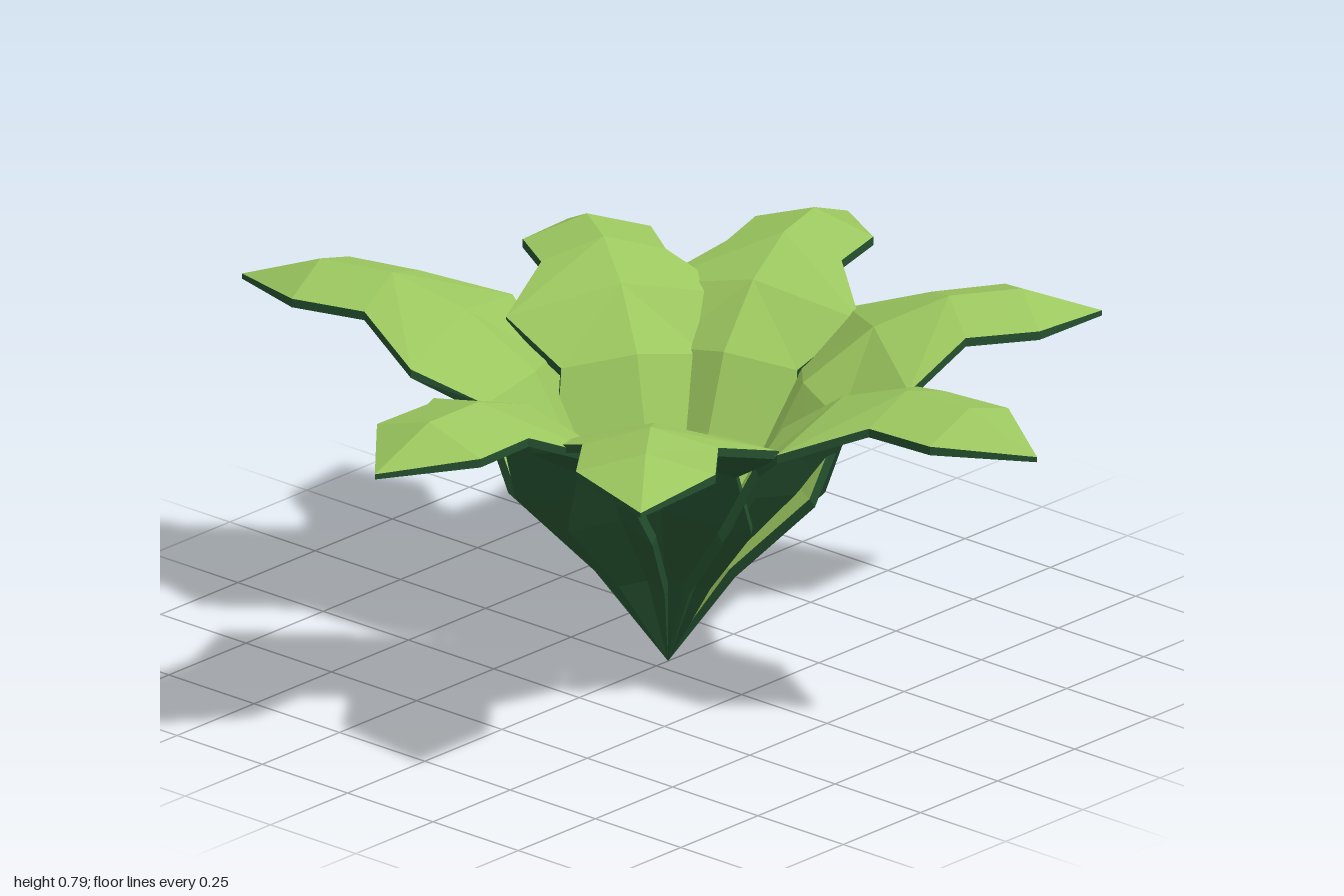
import * as THREE from 'three';

const leafTop = new THREE.MeshStandardMaterial({ color: 0x9cc75f });
const leafUnderside = new THREE.MeshStandardMaterial({ color: 0x24502f });
leafTop.name = 'light leaf green';
leafUnderside.name = 'dark leaf green';
leafTop.flatShading = leafUnderside.flatShading = true;

// Leaf cross-sections, base to tip: half width, edge reach, edge height, rib reach, rib height
const SECTIONS = [
  [0, 0, 0.02, 0, 0.02],
  [0.1, 0.11, 0.24, 0.085, 0.255],
  [0.2, 0.26, 0.425, 0.215, 0.46],
  [0.17, 0.335, 0.59, 0.295, 0.62],
  [0.27, 0.46, 0.68, 0.45, 0.735],
  [0.148, 0.615, 0.745, 0.615, 0.79],
  [0.152, 0.775, 0.745, 0.775, 0.79],
  [0, 0.95, 0.72, 0.95, 0.72],
];

// One arched leaf pointing along +z: light upper skin, dark lower skin and rim
function leafGeometry() {
  const upper = SECTIONS.map(([w, re, ye, rc, yc]) => [[-w, ye, re], [0, yc, rc], [w, ye, re]]);
  const last = SECTIONS.length - 1;
  const lower = upper.map((row, i) => row.map(([x, y, z]) => {
    const out = i === 0 || i === last ? 0 : i < 4 ? 0.012 : 0;
    return [x, y - (i === last ? 0.012 : 0.02), z + out];
  }));
  const positions = [];
  const tri = (a, b, c) => positions.push(...a, ...b, ...c);
  const quad = (a, b, c, d) => { tri(a, b, c); tri(a, c, d); };

  for (let i = 0; i < last; i++) {
    const [n, f] = [upper[i], upper[i + 1]];
    quad(n[0], f[0], f[1], n[1]);
    quad(n[2], n[1], f[1], f[2]);
  }
  const topCount = positions.length / 3;
  for (let i = 0; i < last; i++) {
    const [n, f, N, F] = [lower[i], lower[i + 1], upper[i], upper[i + 1]];
    quad(n[0], n[1], f[1], f[0]);
    quad(n[2], f[2], f[1], n[1]);
    quad(N[0], n[0], f[0], F[0]);
    quad(N[2], F[2], f[2], n[2]);
  }
  const geometry = new THREE.BufferGeometry();
  geometry.setAttribute('position', new THREE.Float32BufferAttribute(positions, 3));
  geometry.addGroup(0, topCount, 0);
  geometry.addGroup(topCount, positions.length / 3 - topCount, 1);
  geometry.computeVertexNormals();
  return geometry;
}

// Tip offset from the plant's centre (x, z) and relative width of each leaf
const LEAVES = [
  [1.0, -0.09, 0.93],
  [0.53, -0.82, 0.95],
  [-0.27, -0.88, 0.93],
  [-0.69, -0.44, 0.95],
  [-1.0, 0.275, 0.91],
  [0.0, 0.95, 1],
  [0.58, 0.73, 1],
];

export function createModel() {
  const plant = new THREE.Group();
  plant.name = 'leafyPlant';
  const geometry = leafGeometry();
  LEAVES.forEach(([x, z, width], i) => {
    const leaf = new THREE.Mesh(geometry, [leafTop, leafUnderside]);
    leaf.name = `leaf${i + 1}`;
    leaf.position.set(0, 0, -0.038);
    leaf.rotation.y = Math.atan2(x, z);
    leaf.scale.set(width, 1, Math.hypot(x, z) / 0.95);
    plant.add(leaf);
  });
  return plant;
}
